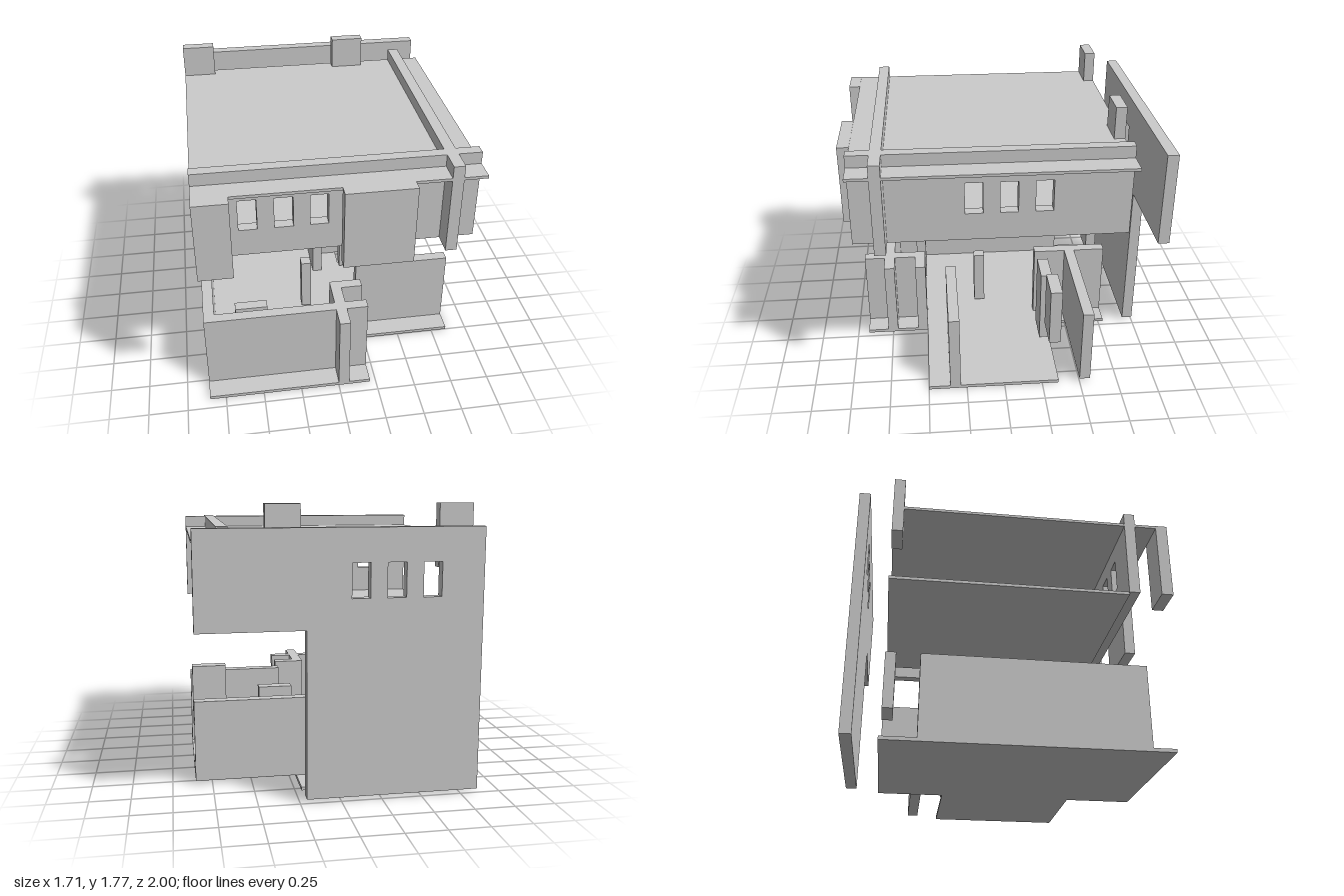
import * as THREE from 'three';

const material = new THREE.MeshStandardMaterial({ color: 0xcccccc, flatShading: true });

export function createModel() {
  const house = new THREE.Group();
  house.name = 'explodedHouse';

  const add = (name, geometry) => {
    const mesh = new THREE.Mesh(geometry, material);
    mesh.name = name;
    house.add(mesh);
    return mesh;
  };

  // Box given by its limits on each axis
  const box = (name, x0, x1, y0, y1, z0, z1) =>
    add(name, new THREE.BoxGeometry(x1 - x0, y1 - y0, z1 - z0))
      .position.set((x0 + x1) / 2, (y0 + y1) / 2, (z0 + z1) / 2);

  const outline = (points) => new THREE.Shape(points.map(([a, b]) => new THREE.Vector2(a, b)));
  const extrude = (shape, depth) => new THREE.ExtrudeGeometry(shape, { depth, bevelEnabled: false });

  // Cuts a row of three windows, each given by its two ends
  const cutWindows = (shape, spans) => {
    for (const [a, b] of spans) {
      shape.holes.push(outline([[a, 1.23], [a, 1.437], [b, 1.437], [b, 1.23]]));
    }
    return shape;
  };
  const rowX = [[-0.595, -0.483], [-0.38, -0.266], [-0.165, -0.055]];
  const rowZ = [[-0.305, -0.195], [-0.09, 0.02], [0.125, 0.235]];

  // Ground slab with two notched corners on the left side
  const slab = extrude(outline([
    [-0.855, -0.785], [0.21, -0.785], [0.21, -0.36], [0.855, -0.36],
    [0.855, 0.5], [0.21, 0.5], [0.21, 0.925], [-0.855, 0.925],
  ]), 0.022);
  slab.rotateX(Math.PI / 2);
  add('groundSlab', slab).position.y = 0.022;

  // Ground floor walls
  const lower = [
    ['frontWall', -0.855, 0.21, 0.715, 0.785],
    ['sideWall', -0.855, -0.785, -0.57, 0.715],
    ['frontCrossWall', 0, 0.07, 0.5, 0.925],
    ['entryWall', 0.07, 0.21, 0.5, 0.57],
    ['gardenWallFront', 0.21, 0.855, 0.29, 0.36],
    ['gardenWallBack', 0.07, 0.855, -0.57, -0.5],
    ['backCrossWall', 0, 0.07, -0.785, -0.285],
  ];
  for (const [name, x0, x1, z0, z1] of lower) box(name, x0, x1, 0.022, 0.54, z0, z1);

  // Loose door and window panels
  box('lowerDoorPanel', 0.21, 0.425, 0.05, 0.565, -0.36, -0.285);
  box('sideWindowPanel', 0.64, 0.855, 0.335, 0.72, -0.36, -0.285);
  box('backWindowPanel', -0.43, -0.215, 0.36, 0.745, -0.785, -0.715);
  box('innerPanel', -0.645, -0.43, 0.05, 0.437, 0.5, 0.57);
  box('innerPost', -0.145, -0.075, 0.05, 0.437, 0.07, 0.145);
  box('upperDoorPanel', -0.855, -0.645, 1.05, 1.565, 0.925, 1);
  box('upperWidePanel', 0, 0.425, 1.05, 1.565, 0.925, 1);
  for (const x of [-0.855, 0.21]) box('roofWindowPanel', x, x + 0.213, 1.38, 1.77, -0.785, -0.715);

  // Upper floor plate
  box('upperFloor', -0.855, 0.425, 1.03, 1.05, -0.785, 0.715);

  // Upper front wall
  const front = cutWindows(outline([[-0.855, 1.05], [0.855, 1.05], [0.855, 1.545], [-0.855, 1.545]]), rowX);
  add('upperFrontWall', extrude(front, 0.07)).position.z = 0.715;

  // Upper side wall, drawn along z and turned so it faces sideways
  const side = cutWindows(
    outline([[-0.925, 1.05], [0.785, 1.05], [0.785, 1.545], [-0.925, 1.545]]),
    rowZ.map(([a, b]) => [-b, -a]),
  );
  const sideGeometry = extrude(side, 0.07);
  sideGeometry.rotateY(Math.PI / 2);
  add('upperSideWall', sideGeometry).position.x = 0.64;

  // Roof plate and crossing parapets
  box('roof', -0.855, 0.855, 1.545, 1.563, -0.785, 0.925);
  box('frontParapet', -0.855, 0.855, 1.563, 1.64, 0.715, 0.785);
  box('sideParapet', 0.64, 0.71, 1.563, 1.64, -0.785, 0.925);

  // Tall back wall, wider at the upper storey
  const back = cutWindows(outline([
    [-0.855, 0.025], [0.21, 0.025], [0.21, 1.05], [0.855, 1.05], [0.855, 1.64], [-0.855, 1.64],
  ]), rowX);
  add('backWall', extrude(back, 0.07)).position.z = -1;

  return house;
}
